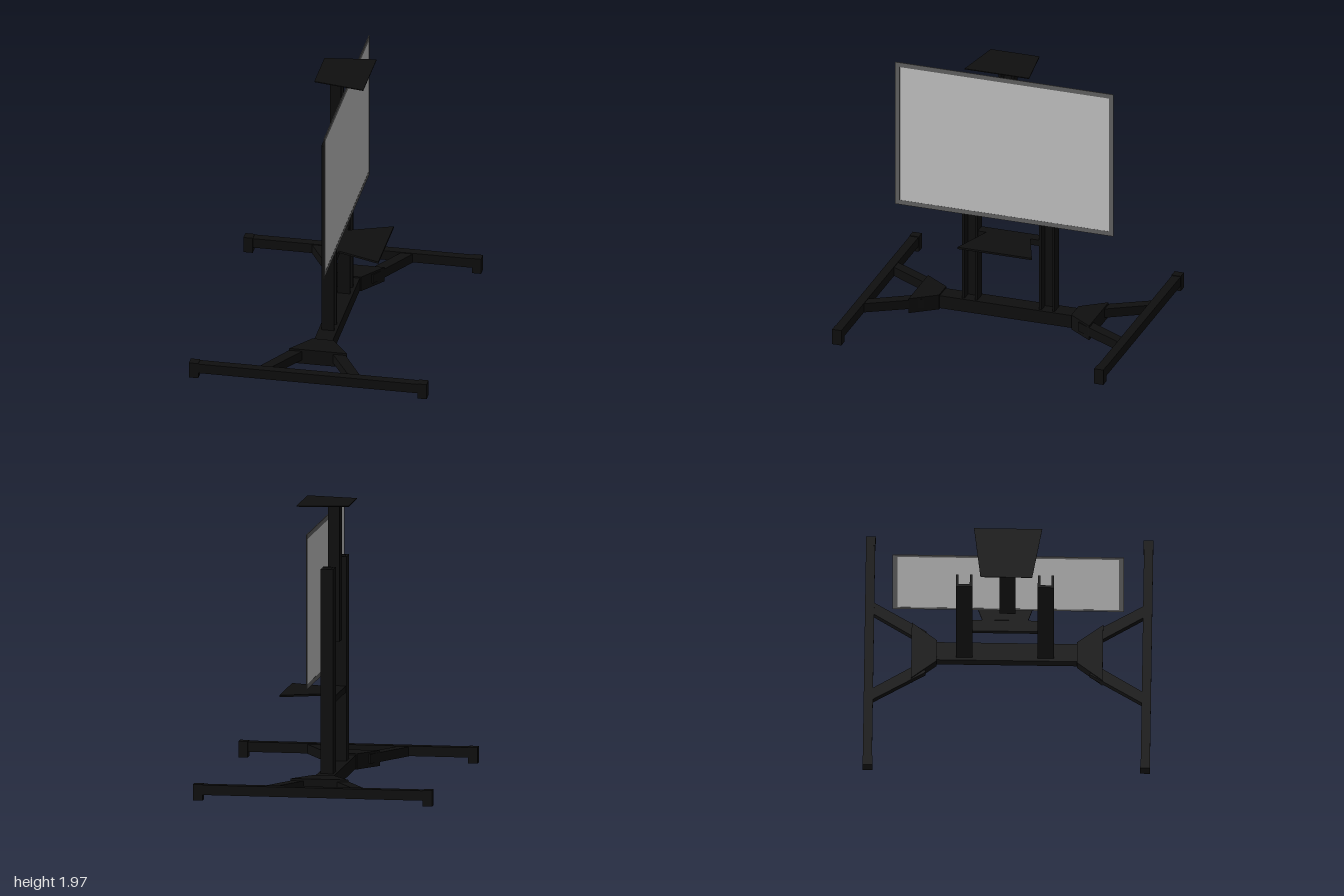
import * as THREE from 'three';

const black = new THREE.MeshStandardMaterial({ color: 0x0f0f0f, side: THREE.DoubleSide });
const bezel = new THREE.MeshStandardMaterial({ color: 0x666666 });
const grey = new THREE.MeshStandardMaterial({ color: 0xcccccc });

export function createModel() {
  const model = new THREE.Group();

  const add = (name, geometry, material = black) => {
    const mesh = new THREE.Mesh(geometry, material);
    mesh.name = name;
    model.add(mesh);
    return mesh;
  };

  // Box given by its limits on each axis
  const box = (name, [x0, x1], [y0, y1], [z0, z1], material) =>
    add(name, new THREE.BoxGeometry(x1 - x0, y1 - y0, z1 - z0), material)
      .position.set((x0 + x1) / 2, (y0 + y1) / 2, (z0 + z1) / 2);

  // Horizontal plate from an outline of [x, z] points
  const plate = (name, outline, y0, y1) => {
    const shape = new THREE.Shape(outline.map(([x, z]) => new THREE.Vector2(x, z)));
    const geometry = new THREE.ExtrudeGeometry(shape, { depth: y1 - y0, bevelEnabled: false });
    geometry.rotateX(Math.PI / 2).translate(0, y1, 0);
    return add(name, geometry);
  };

  // Upright U-channel, open towards the screen
  const channel = (name, x0, x1, y0, y1, z0, z1, t = 0.018) => plate(name, [
    [x0, z0], [x1, z0], [x1, z0 + t], [x0 + t, z0 + t],
    [x0 + t, z1 - t], [x1, z1 - t], [x1, z1], [x0, z1],
  ], y0, y1);

  // Base: spine, flared hubs, diagonal legs, end rails and feet
  box('baseSpine', [-0.06, 0.07], [0.015, 0.11], [-0.52, 0.52]);
  for (const s of [-1, 1]) {
    const inner = s > 0 ? 0.48 : 0.495;
    const outer = s > 0 ? 0.66 : 0.672;
    plate('hub', [
      [-0.07, s * inner], [0.08, s * inner], [0.21, s * outer], [-0.2, s * outer],
    ], 0.01, 0.12);
    box('endRail', [-0.82, 0.82], [0.04, 0.11], [s * 0.967 - 0.032, s * 0.967 + 0.032]);
    for (const m of [-1, 1]) {
      plate('diagonalLeg', [
        [m * 0.075, s * 0.6], [m * 0.15, s * 0.57], [m * 0.36, s * 0.94], [m * 0.275, s * 0.94],
      ], 0.038, 0.105);
      box('foot', [m * 0.81 - 0.033, m * 0.81 + 0.033], [0, 0.114], [s * 0.966 - 0.034, s * 0.966 + 0.034]);
    }
  }

  // Columns, cross bar and the sliding mount post
  channel('column', -0.04, 0.05, 0.1, 1.55, 0.207, 0.32);
  channel('column', -0.04, 0.05, 0.1, 1.55, -0.362, -0.248);
  box('crossBar', [-0.035, 0.045], [0.595, 0.64], [-0.25, 0.21]);
  channel('mountPost', -0.033, 0.045, 0.99, 1.965, -0.06, 0.053);

  // Shelves
  plate('topShelf', [[-0.12, -0.19], [0.24, -0.24], [0.24, 0.235], [-0.12, 0.17]], 1.965, 1.971);
  plate('lowerShelf', [[0.045, -0.18], [0.35, -0.3], [0.35, 0.25], [0.045, 0.14]], 0.63, 0.644);

  // Screen facing +x: bezel frame around a thin panel
  const W = 0.805, H = 0.545, B = 0.034;
  const rect = (Type, w, h) => new Type([
    [-w, -h], [w, -h], [w, h], [-w, h],
  ].map(([x, y]) => new THREE.Vector2(x, y)));
  const frame = rect(THREE.Shape, W, H);
  frame.holes.push(rect(THREE.Path, W - B, H - B));
  const frameGeometry = new THREE.ExtrudeGeometry(frame, { depth: 0.006, bevelEnabled: false });
  frameGeometry.rotateY(Math.PI / 2);
  add('screenFrame', frameGeometry, bezel).position.set(0.072, 1.315, 0);
  box('screenPanel', [0.073, 0.077], [1.315 - H + B, 1.315 + H - B], [B - W, W - B], grey);

  return model;
}
